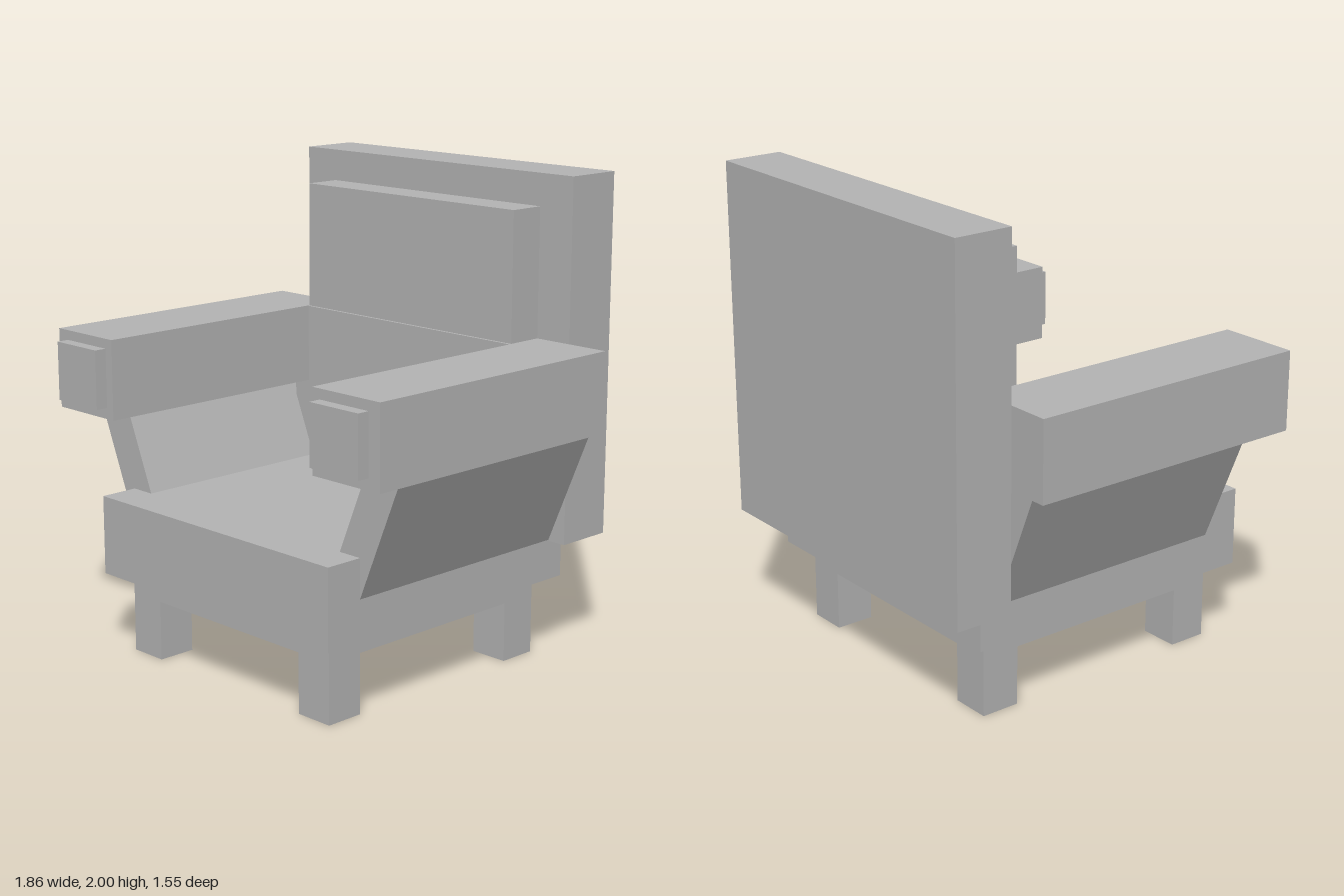
import * as THREE from 'three';

export function createModel() {
  const group = new THREE.Group();
  group.name = 'armchair';
  const grey = new THREE.MeshStandardMaterial({ name: 'plain grey', color: 0xb4b4b4 });

  // Box given by its limits on each axis
  function box(name, [x0, x1], [y0, y1], [z0, z1]) {
    const mesh = new THREE.Mesh(new THREE.BoxGeometry(x1 - x0, y1 - y0, z1 - z0), grey);
    mesh.position.set((x0 + x1) / 2, (y0 + y1) / 2, (z0 + z1) / 2);
    mesh.name = name;
    group.add(mesh);
  }
  const span = (side, a, b) => (side > 0 ? [a, b] : [-b, -a]);

  // Backrest and its two cushions
  box('backrest', [-0.75, 0.75], [0.5, 2], [-0.777, -0.525]);
  box('upperBackCushion', [-0.583, 0.583], [1.333, 1.867], [-0.525, -0.367]);
  box('lowerBackCushion', [-0.667, 0.667], [0.6, 1.331], [-0.526, -0.362]);

  // Seat and the frame under it
  box('seat', [-0.667, 0.667], [0.335, 0.667], [-0.605, 0.725]);
  box('underFrame', [-0.583, 0.583], [0.25, 0.335], [-0.525, 0.64]);

  for (const side of [1, -1]) {
    const label = side > 0 ? 'left' : 'right';

    // Armrest with a square front panel
    box(label + 'Armrest', span(side, 0.585, 0.932), [1, 1.333], [-0.525, 0.725]);
    box(label + 'ArmPanel', span(side, 0.625, 0.875), [1.047, 1.292], [0.725, 0.777]);

    // Slanted support leaning out from the seat to the armrest
    const corners = [[0.49, 0.5], [0.665, 0.5], [0.872, 1], [0.697, 1]];
    const shape = new THREE.Shape(corners.map(([x, y]) => new THREE.Vector2(side * x, y)));
    const geometry = new THREE.ExtrudeGeometry(shape, { depth: 1.085, bevelEnabled: false });
    const support = new THREE.Mesh(geometry, grey);
    support.position.z = -0.525;
    support.name = label + 'ArmSupport';
    group.add(support);

    // Legs
    box(label + 'FrontLeg', span(side, 0.415, 0.583), [0, 0.25], [0.475, 0.64]);
    box(label + 'BackLeg', span(side, 0.415, 0.583), [0, 0.25], [-0.525, -0.358]);
  }
  return group;
}
